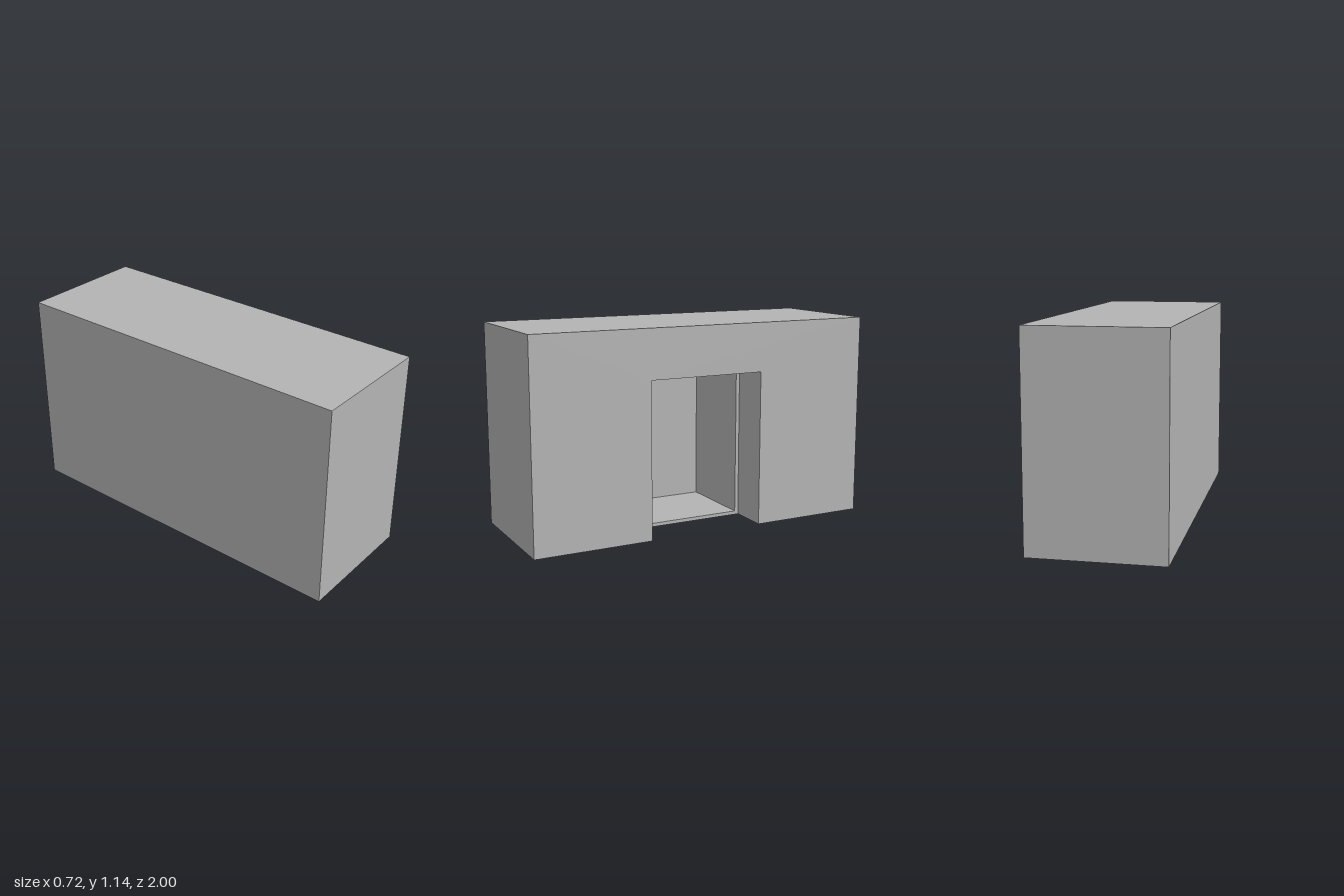
import * as THREE from 'three';

const HX = 0.362, HZ = 1, TOP = 1.142;             // outer block
const DOOR_Z = 0.334, DOOR_TOP = 0.869;            // doorway recess
const STEP_X = 0.134;                              // plane of the door frame
const IN_Z = 0.313, IN_Y0 = 0.02, IN_TOP = 0.847;  // inner room
const BACK_X = -0.34;

const AXES = {
  x: new THREE.Vector3(1, 0, 0),
  y: new THREE.Vector3(0, 1, 0),
  z: new THREE.Vector3(0, 0, 1),
};
const PLANES = { x: ['y', 'z'], y: ['z', 'x'], z: ['x', 'y'] };

// Corner pairs of a rectangle
const rect = (a0, a1, b0, b1) => [[a0, b0], [a1, b0], [a1, b1], [a0, b1]];

// Flat panel at a position along an axis, facing +axis or -axis.
// Points are (y,z) for x, (z,x) for y and (x,y) for z.
function panel(axis, dir, at, points, hole) {
  const order = (p) => new THREE.Vector2(...(dir > 0 ? p : [p[1], p[0]]));
  const shape = new THREE.Shape(points.map(order));
  if (hole) shape.holes.push(new THREE.Path(hole.map(order)));
  const [a, b] = PLANES[axis];
  const [u, v] = dir > 0 ? [a, b] : [b, a];
  const n = AXES[axis].clone().multiplyScalar(dir);
  const basis = new THREE.Matrix4().makeBasis(AXES[u], AXES[v], n);
  basis.setPosition(AXES[axis].clone().multiplyScalar(at));
  return new THREE.ShapeGeometry(shape).applyMatrix4(basis);
}

export function createModel() {
  const model = new THREE.Group();
  model.name = 'blockWithDoorway';
  const grey = new THREE.MeshStandardMaterial({ color: 0xb4b4b4 });
  grey.name = 'plainGrey';

  const add = (name, ...args) => {
    const mesh = new THREE.Mesh(panel(...args), grey);
    mesh.name = name;
    model.add(mesh);
  };

  // Outer walls and roof
  add('doorwayWall', 'x', 1, HX, [
    [0, -HZ], [TOP, -HZ], [TOP, HZ], [0, HZ],
    [0, DOOR_Z], [DOOR_TOP, DOOR_Z], [DOOR_TOP, -DOOR_Z], [0, -DOOR_Z],
  ]);
  add('plainWall', 'x', -1, -HX, rect(0, TOP, -HZ, HZ));
  add('roof', 'y', 1, TOP, rect(-HZ, HZ, -HX, HX));
  for (const s of [1, -1]) add('endWall', 'z', s, s * HZ, rect(-HX, HX, 0, TOP));

  // Underside, notched where the doorway is cut through to the ground
  add('underside', 'y', -1, 0, [
    [-HZ, -HX], [HZ, -HX], [HZ, HX], [DOOR_Z, HX],
    [DOOR_Z, STEP_X], [-DOOR_Z, STEP_X], [-DOOR_Z, HX], [-HZ, HX],
  ]);

  // Doorway recess and the narrow frame at its end
  for (const s of [1, -1]) add('doorJamb', 'z', -s, s * DOOR_Z, rect(STEP_X, HX, 0, DOOR_TOP));
  add('doorLintel', 'y', -1, DOOR_TOP, rect(-DOOR_Z, DOOR_Z, STEP_X, HX));
  add('doorFrame', 'x', 1, STEP_X, rect(0, DOOR_TOP, -DOOR_Z, DOOR_Z),
    rect(IN_Y0, IN_TOP, -IN_Z, IN_Z));

  // Inner room
  for (const s of [1, -1]) add('roomSide', 'z', -s, s * IN_Z, rect(BACK_X, STEP_X, IN_Y0, IN_TOP));
  add('roomFloor', 'y', 1, IN_Y0, rect(-IN_Z, IN_Z, BACK_X, STEP_X));
  add('roomCeiling', 'y', -1, IN_TOP, rect(-IN_Z, IN_Z, BACK_X, STEP_X));
  add('roomBack', 'x', 1, BACK_X, rect(IN_Y0, IN_TOP, -IN_Z, IN_Z));

  return model;
}
